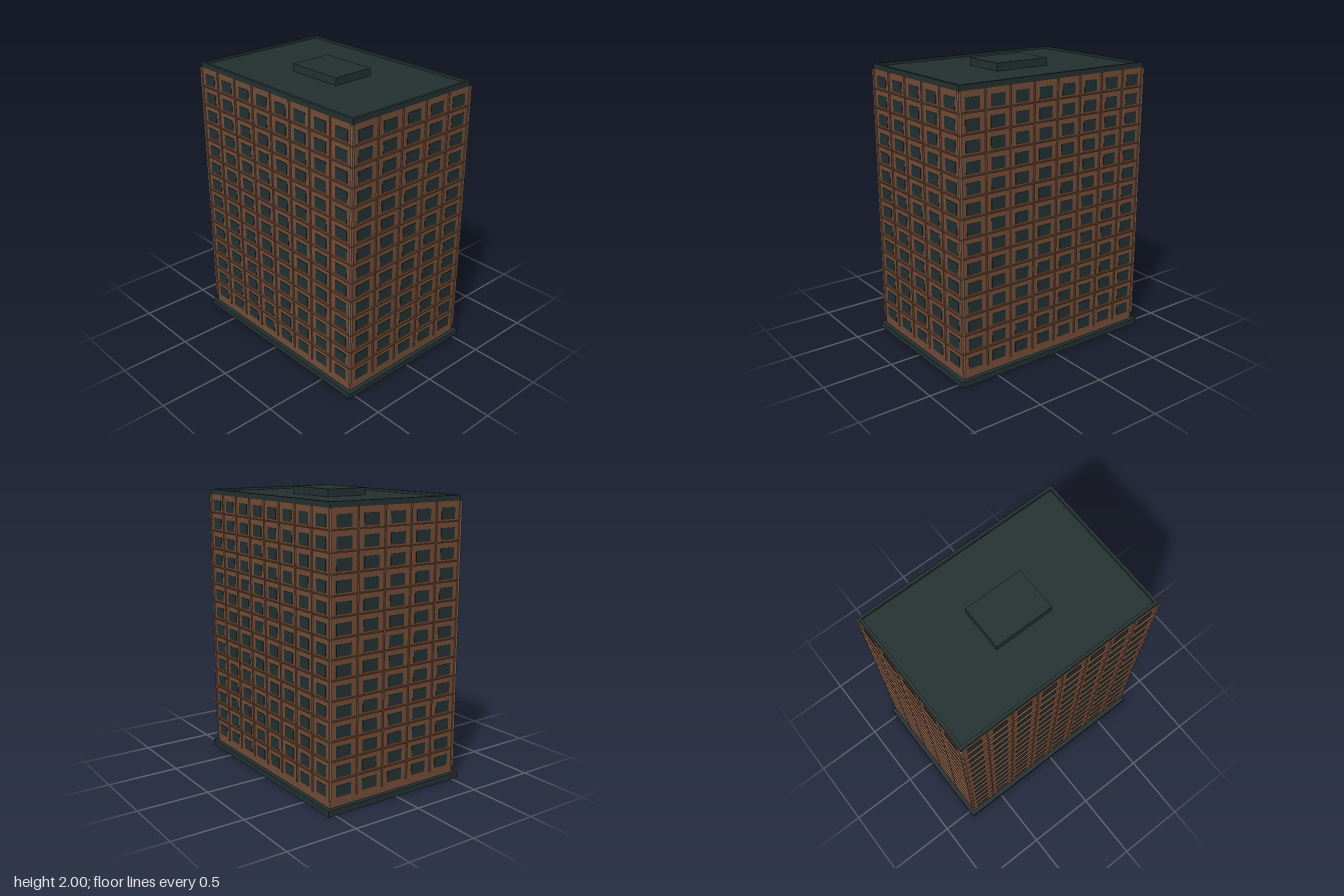
import * as THREE from 'three';

export function createModel() {
  const building = new THREE.Group();
  building.name = 'apartmentTower';
  const mat = (name, color) => {
    const m = new THREE.MeshStandardMaterial({ color });
    m.name = name;
    return m;
  };
  const brick = mat('brick', 0x754d37);
  const trim = mat('trim', 0x80604c);
  const dark = mat('darkSlate', 0x243131);

  const W = 1.5, D = 1.04, FLOORS = 14, Y0 = 0.09, Y1 = 1.93;
  const floorH = (Y1 - Y0) / FLOORS;

  const box = (parent, name, material, w, h, d, x, y, z) => {
    const mesh = new THREE.Mesh(new THREE.BoxGeometry(w, h, d), material);
    mesh.name = name;
    mesh.position.set(x, y, z);
    parent.add(mesh);
    return mesh;
  };

  // Plinth and main block
  box(building, 'plinth', dark, 1.56, 0.04, 1.1, 0, 0.02, 0);
  box(building, 'body', brick, W, Y1 - 0.04, D, 0, (Y1 + 0.04) / 2, 0);

  // Roof slab, parapet and rooftop box
  box(building, 'roofSlab', dark, W, 0.018, D, 0, 1.939, 0);
  for (const s of [-1, 1]) {
    box(building, 'parapetLong', dark, W, 0.036, 0.02, 0, 1.948, s * (D / 2 - 0.01));
    box(building, 'parapetShort', dark, 0.02, 0.036, D - 0.04, s * (W / 2 - 0.01), 1.948, 0);
  }
  box(building, 'rooftopBox', dark, 0.42, 0.055, 0.31, 0, 1.9725, 0);

  // One facade facing +z: windows, ribs between bays, ledges between floors
  const facade = (name, width, bays, depth, angle) => {
    const g = new THREE.Group();
    g.name = name;
    const bay = width / bays;
    for (let f = 0; f < FLOORS; f++) {
      const y = Y0 + f * floorH;
      for (let b = 0; b < bays; b++) {
        box(g, 'window', dark, bay * 0.56, 0.077, 0.005,
          (b + 0.5 - bays / 2) * bay, y + 0.4 * floorH, depth);
      }
      if (f > 0) box(g, 'ledge', brick, width + 0.012, 0.008, 0.012, 0, y, depth + 0.006);
    }
    for (let b = 1; b < bays; b++) {
      box(g, 'rib', trim, 0.009, Y1 - Y0, 0.01, (b - bays / 2) * bay, (Y0 + Y1) / 2, depth + 0.004);
    }
    g.rotation.y = angle;
    building.add(g);
  };
  facade('frontFacade', W, 8, D / 2, 0);
  facade('backFacade', W, 8, D / 2, Math.PI);
  facade('leftFacade', D, 5, W / 2, Math.PI / 2);
  facade('rightFacade', D, 5, W / 2, -Math.PI / 2);

  // Corner posts
  for (const x of [-1, 1]) for (const z of [-1, 1]) {
    box(building, 'cornerPost', trim, 0.018, Y1 - Y0, 0.018, x * W / 2, (Y0 + Y1) / 2, z * D / 2);
  }
  return building;
}
